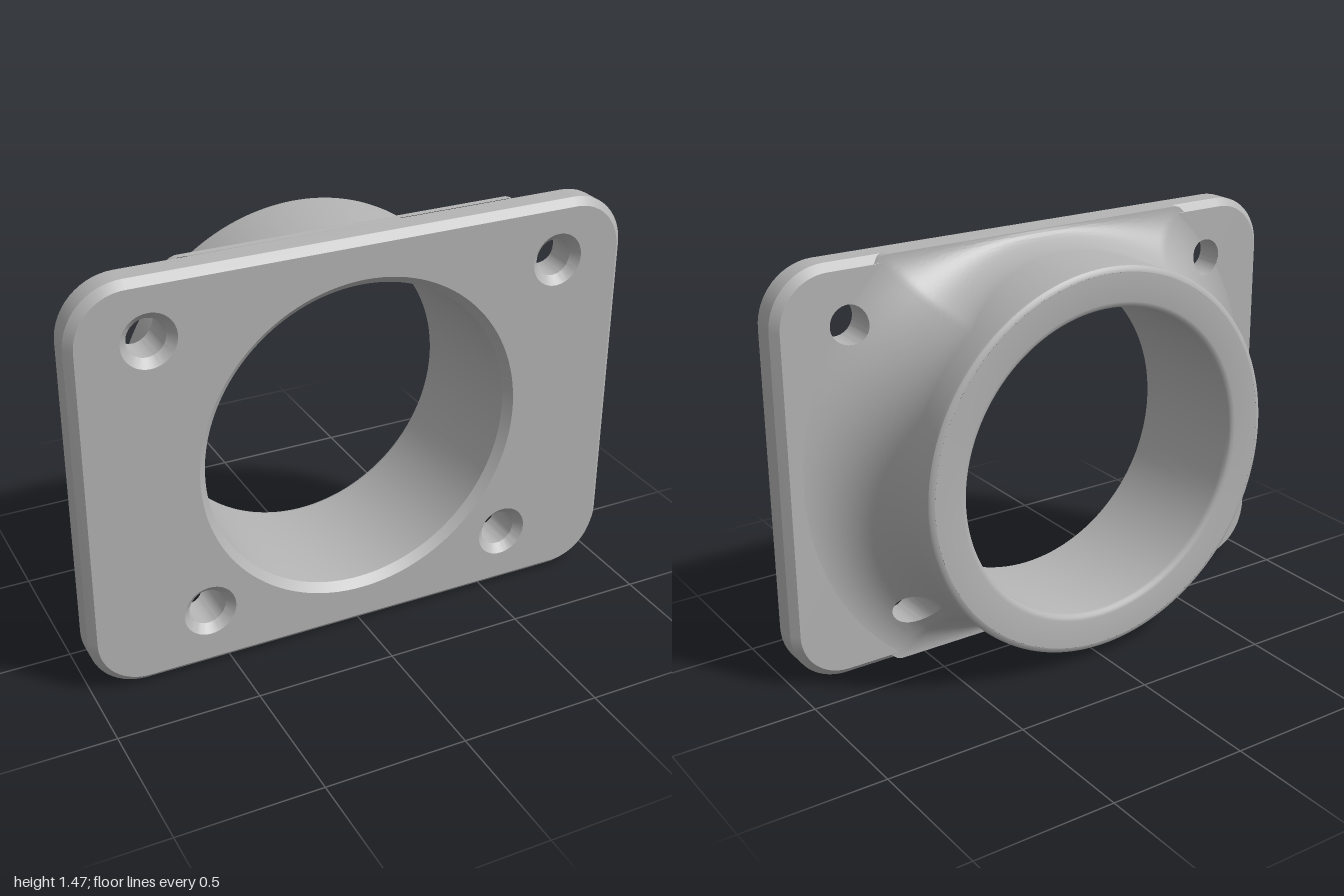
import * as THREE from 'three';
import { toCreasedNormals } from 'three/addons/utils/BufferGeometryUtils.js';

const CY = 0.7325, HALF_W = 1, CORNER = 0.2, CHAMFER = 0.026;
const FRONT = 0.265, BACK = 0.135, NECK_R = 0.68, HOLE_R = 0.066;
const HOLES = [[0.735, 0.525], [-0.735, 0.525], [0.573, -0.515], [-0.573, -0.515]];

// Points are relative to the bore axis; the whole group is lifted at the end.
const circle = (cx, cy, r, n = 48) => Array.from({ length: n }, (_, i) => {
  const t = (i / n) * Math.PI * 2;
  return [cx + r * Math.cos(t), cy + r * Math.sin(t)];
});

// Rounded rectangle, counter-clockwise
function outline(inset) {
  const pts = [], r = CORNER - inset, n = 14;
  [[1, 1], [-1, 1], [-1, -1], [1, -1]].forEach(([sx, sy], q) => {
    for (let i = 0; i <= n; i++) {
      const t = (q + i / n) * Math.PI / 2;
      pts.push([sx * (HALF_W - CORNER) + r * Math.cos(t), sy * (CY - CORNER) + r * Math.sin(t)]);
    }
  });
  return pts;
}

const atZ = (pts, z) => pts.map(([x, y]) => [x, y, z]);

// Skin over closed rings of points; triangles failing keep() are left out
function loft(rings, keep = () => true) {
  const n = rings[0].length, index = [];
  for (let j = 0; j < rings.length - 1; j++) {
    for (let i = 0; i < n; i++) {
      const k = (i + 1) % n;
      const a = j * n + i, b = j * n + k, c = a + n, d = b + n;
      for (const tri of [[a, b, d], [a, d, c]]) if (keep(tri)) index.push(...tri);
    }
  }
  const g = new THREE.BufferGeometry();
  g.setAttribute('position', new THREE.Float32BufferAttribute(rings.flat(2), 3));
  g.setIndex(index);
  return toCreasedNormals(g, 0.55);
}

// Fillet between neck and plate: wide at the sides, cut short by the plate's long edges
function fillet(t) {
  const end = Math.min(0.95, (CY + 0.001) / Math.max(Math.abs(Math.sin(t)), 1e-6));
  const a = end - NECK_R;
  const b = 0.14 + 0.13 * (a - 0.053) / 0.217;
  return { end, a, b, z0: BACK + 0.001 - b };
}

// Height of the back surface over a point
function backZ(x, y) {
  const r = Math.hypot(x, y), f = fillet(Math.atan2(y, x));
  if (r >= f.end) return BACK;
  const c = Math.min(1, 1 - (r - NECK_R) / f.a);
  return f.z0 + f.b * Math.sqrt(1 - c * c);
}

// Neck with lip and fillet; points inside a screw hole are pushed out to its rim
function neckGeometry() {
  const N = 360, M = 36, rings = [], inside = [];
  const ring = (at) => rings.push(Array.from({ length: N }, (_, i) => {
    const t = (i / N) * Math.PI * 2;
    const [r, z] = at(t);
    return [r * Math.cos(t), r * Math.sin(t), z];
  }));
  for (const [r, z] of [[0.667, -0.265], [0.679, -0.262], [0.686, -0.255], [0.688, -0.243]]) ring(() => [r, z]);
  for (let j = 0; j <= M; j++) {
    const p = (j / M) * Math.PI / 2;
    ring((t) => {
      const f = fillet(t);
      return [NECK_R + f.a * (1 - Math.cos(p)), f.z0 + f.b * Math.sin(p)];
    });
  }
  ring((t) => [fillet(t).end, BACK + 0.025]); // skirt down into the plate
  rings.forEach((pts, j) => pts.forEach((v) => {
    const hole = j < 4 ? -1 : HOLES.findIndex(([x, y]) => Math.hypot(v[0] - x, v[1] - y) < HOLE_R);
    inside.push(hole >= 0);
    if (hole < 0) return;
    const [x, y] = HOLES[hole];
    const s = HOLE_R / Math.max(Math.hypot(v[0] - x, v[1] - y), 1e-6);
    v[0] = x + (v[0] - x) * s;
    v[1] = y + (v[1] - y) * s;
    if (j < rings.length - 1) v[2] = backZ(v[0], v[1]);
  }));
  return loft(rings, (tri) => !tri.every((i) => inside[i]));
}

// Flat plate face with the bore and screw holes cut out
function faceGeometry(boreR, holeR) {
  const vec = (pts) => pts.map(([x, y]) => new THREE.Vector2(x, y));
  const shape = new THREE.Shape(vec(outline(CHAMFER)));
  shape.holes.push(new THREE.Path(vec(circle(0, 0, boreR, 120))));
  for (const [x, y] of HOLES) shape.holes.push(new THREE.Path(vec(circle(x, y, holeR))));
  return new THREE.ShapeGeometry(shape);
}

export function createModel() {
  const grey = new THREE.MeshStandardMaterial({ color: 0xb4b4b4 });
  grey.name = 'grey';
  const group = new THREE.Group();
  group.name = 'flangedCollar';
  const add = (name, geometry) => {
    const mesh = new THREE.Mesh(geometry, grey);
    mesh.name = name;
    mesh.position.y = CY;
    group.add(mesh);
  };

  // Plate: chamfered rim and two faces
  add('plateRim', loft([
    atZ(outline(CHAMFER), BACK), atZ(outline(0), BACK + CHAMFER),
    atZ(outline(0), FRONT - CHAMFER), atZ(outline(CHAMFER), FRONT),
  ]));
  add('plateFront', faceGeometry(0.59, 0.094).translate(0, 0, FRONT));
  add('plateBack', faceGeometry(0.66, HOLE_R).rotateY(Math.PI).translate(0, 0, BACK));

  // Screw holes: front chamfer, then a wall up to the back surface
  for (const [x, y] of HOLES) {
    const rim = circle(x, y, HOLE_R);
    add('screwHole', loft([
      atZ(circle(x, y, 0.094), FRONT), atZ(rim, FRONT - 0.028),
      rim.map(([px, py]) => [px, py, backZ(px, py)]),
    ]));
  }

  // Bore: front chamfer, slight taper, rounded rear edge and end ring
  const bore = [[0.59, FRONT], [0.562, 0.237], [0.545, -0.243], [0.548, -0.255],
    [0.555, -0.262], [0.567, -0.265], [0.667, -0.265]];
  add('bore', loft(bore.map(([r, z]) => atZ(circle(0, 0, r, 120), z))));

  add('neck', neckGeometry());
  return group;
}
